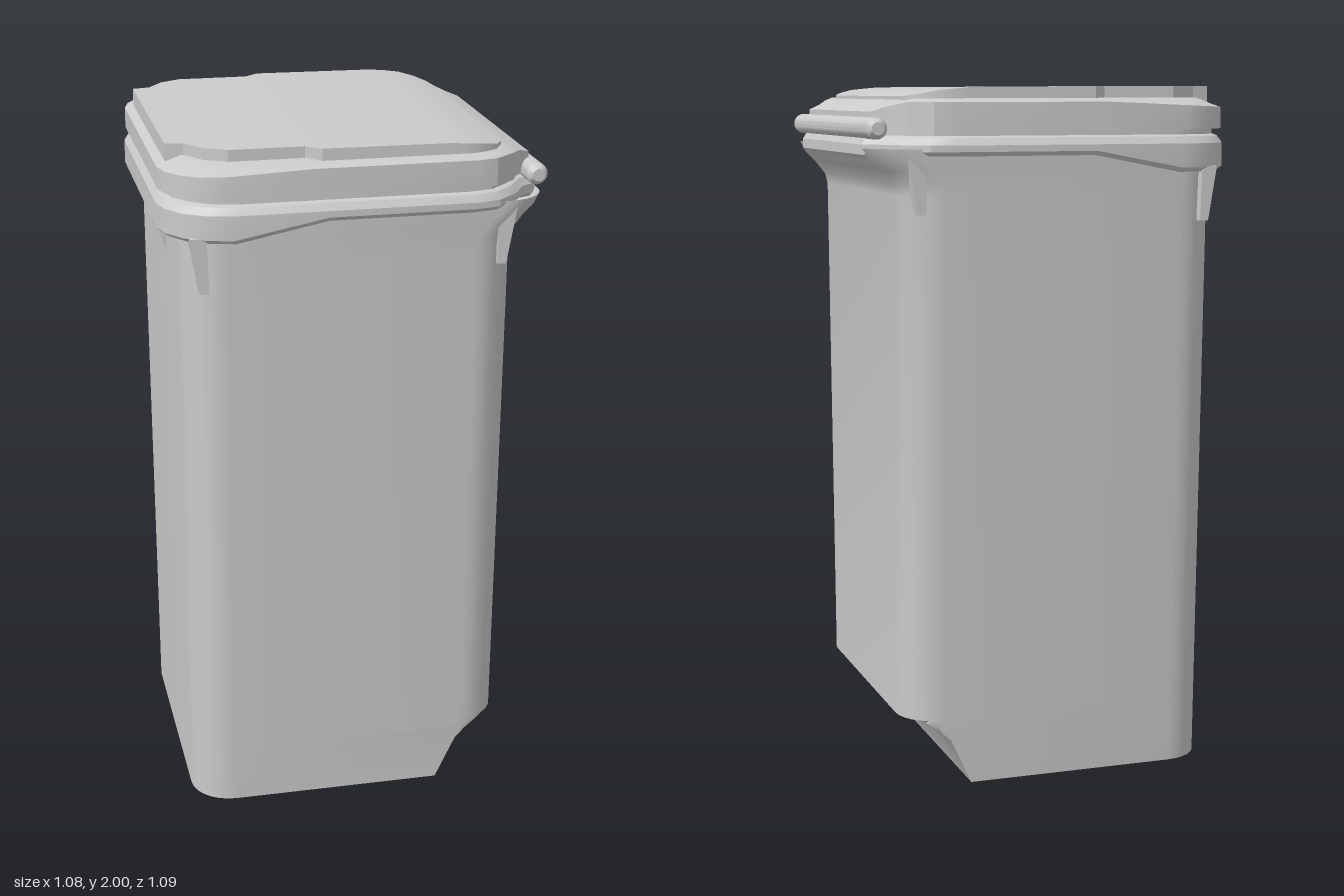
import * as THREE from 'three';
import { toCreasedNormals } from 'three/addons/utils/BufferGeometryUtils.js';

const material = new THREE.MeshStandardMaterial({ color: 0xcccccc, side: THREE.DoubleSide });

// Piecewise-linear lookup through [input, output] stops
function ramp(v, stops) {
  if (v <= stops[0][0]) return stops[0][1];
  for (let i = 1; i < stops.length; i++) {
    const [a, fa] = stops[i - 1], [b, fb] = stops[i];
    if (v <= b) return fa + (fb - fa) * (v - a) / (b - a);
  }
  return stops[stops.length - 1][1];
}

// Half outline (z > 0, from +x to -x) of a rounded rectangle
function roundedHalf(x0, x1, hz, r, steps = 7) {
  const half = [];
  for (const [cx, start] of [[x1 - r, 0], [x0 + r, Math.PI / 2]]) {
    for (let i = 0; i <= steps; i++) {
      const a = start + (i / steps) * Math.PI / 2;
      half.push([cx + r * Math.cos(a), hz - r + r * Math.sin(a)]);
    }
  }
  return half;
}

// Mirrors a half outline into a closed ring; y may depend on x
function ring(half, y, inset = 0) {
  const s = 1 - inset / 0.54;
  const side = half.map(([x, z]) => [x * s, typeof y === 'function' ? y(x) : y, z * s]);
  return [...side, ...side.map(([x, h, z]) => [x, h, -z]).reverse()];
}

// Skins consecutive rings and closes the ends with strips across z
function loft(rings, capBottom, capTop, crease = 0.5) {
  const pos = [], n = rings[0].length;
  const tri = (...p) => p.forEach(v => pos.push(...v));
  for (let i = 0; i + 1 < rings.length; i++) {
    for (let j = 0; j < n; j++) {
      const k = (j + 1) % n;
      const a = rings[i][j], b = rings[i][k], c = rings[i + 1][k], d = rings[i + 1][j];
      tri(a, d, b);
      tri(b, d, c);
    }
  }
  const cap = (r, up) => {
    for (let j = 0; j < n / 2 - 1; j++) {
      const a = r[j], b = r[j + 1], d = r[n - 1 - j], e = r[n - 2 - j];
      if (up) { tri(a, d, b); tri(b, d, e); } else { tri(a, b, d); tri(b, e, d); }
    }
  };
  if (capBottom) cap(rings[0], false);
  if (capTop) cap(rings[rings.length - 1], true);
  const g = new THREE.BufferGeometry();
  g.setAttribute('position', new THREE.Float32BufferAttribute(pos, 3));
  return toCreasedNormals(g, crease);
}

export function createModel() {
  const group = new THREE.Group();
  const add = (name, geometry) => {
    const mesh = new THREE.Mesh(geometry, material);
    mesh.name = name;
    group.add(mesh);
    return mesh;
  };

  // Tapered body: recessed floor, stepped cut at the lower +x edge, flare under the handle
  const cut = [[0, 0.25], [0.13, 0.31], [0.16, 0.34], [0.185, 0.38], [0.195, 0.445]];
  const flare = [[1.70, 0.445], [1.73, 0.453], [1.77, 0.485], [1.80, 0.515], [1.83, 0.53]];
  const section = (y, inset = 0) => {
    const x1 = ramp(y, flare), hz = 0.47 + 0.023 * y;
    const limit = y < 0.195 ? ramp(y, cut) - inset : 9;
    return roundedHalf(-0.49 + inset, x1 - inset, hz - inset, 0.12 - inset)
      .map(([x, z]) => [Math.min(x, limit), z]);
  };
  add('body', loft([
    ring(section(0.07, 0.045), 0.07),
    ring(section(0, 0.025), 0),
    ...[0, 0.13, 0.16, 0.185, 0.195, 1.70, 1.73, 1.77, 1.80, 1.83].map(y => ring(section(y), y)),
  ], true, false));

  // Collar around the mouth, deeper towards -x
  const collarHalf = [[0.53, 0.37], [0.485, 0.40], [0.44, 0.475], [0.38, 0.53], [0.31, 0.547],
    [-0.1, 0.547], [-0.36, 0.547], [-0.43, 0.53], [-0.49, 0.49], [-0.53, 0.43], [-0.545, 0.37]];
  const skirt = x => ramp(x, [[-0.36, 1.76], [-0.1, 1.81], [0.4, 1.81], [0.53, 1.80]]);
  add('collar', loft([
    ring(collarHalf, x => skirt(x) + 0.01, 0.06),
    ring(collarHalf, skirt, 0.012),
    ring(collarHalf, x => skirt(x) + 0.012),
    ring(collarHalf, 1.84),
    ring(collarHalf, 1.86, 0.012),
    ring(collarHalf, 1.865, 0.025),
    ring(collarHalf, 1.885, 0.025),
  ], false, false));

  // Lid with a lowered lip by the handle
  const lidHalf = [[0.507, 0.37], [0.47, 0.40], [0.43, 0.48], [0.37, 0.53], [0.31, 0.545],
    [-0.14, 0.545], [-0.37, 0.545], [-0.44, 0.525], [-0.49, 0.485], [-0.525, 0.43], [-0.54, 0.37]];
  const lidEdge = x => ramp(x,
    [[-0.54, 1.94], [-0.37, 1.947], [-0.14, 1.957], [0.43, 1.957], [0.507, 1.93]]);
  add('lid', loft([
    ring(lidHalf, 1.88),
    ring(lidHalf, lidEdge),
    ring(lidHalf, x => lidEdge(x) + 0.008, 0.02),
    ring(lidHalf, x => ramp(x, [[0.45, 1.968], [0.507, 1.955]]), 0.06),
  ], true, true, 0.4));

  // Raised lid panel, stepped in at the sides and sloping down to +x
  const panelHalf = [[0.42, 0.36], [0.413, 0.41], [0.385, 0.465], [0.345, 0.49], [0.30, 0.502],
    [0.25, 0.502], [-0.11, 0.502], [-0.15, 0.465], [-0.36, 0.465], [-0.42, 0.43],
    [-0.465, 0.365], [-0.515, 0.355]];
  const panelTop = x => ramp(x, [[0.22, 2], [0.34, 1.99], [0.42, 1.972]]);
  add('lidPanel', loft([ring(panelHalf, 1.945), ring(panelHalf, panelTop)], true, true, 0.3));

  // Handle bar with chamfered ends
  const profile = [[0, -0.465], [0.018, -0.465], [0.03, -0.448], [0.03, 0.448], [0.018, 0.465], [0, 0.465]];
  const bar = new THREE.LatheGeometry(profile.map(p => new THREE.Vector2(...p)), 20);
  const handle = add('handle', toCreasedNormals(bar, 0.5));
  handle.rotation.x = Math.PI / 2;
  handle.position.set(0.509, 1.885, 0);

  // Stiffening ribs beneath the collar, as plates in the xy plane
  const rib = (name, outline, z, depth) => {
    const shape = new THREE.Shape(outline.map(p => new THREE.Vector2(...p)));
    const geometry = new THREE.ExtrudeGeometry(shape, { depth, bevelEnabled: false });
    add(name, geometry.translate(0, 0, z - depth / 2));
  };
  for (const s of [1, -1]) {
    rib('sideRib', [[-0.53, 1.775], [-0.47, 1.775], [-0.47, 1.64], [-0.492, 1.64]], s * 0.13, 0.022);
    rib('cornerRib', [[-0.475, 1.775], [-0.43, 1.775], [-0.425, 1.62], [-0.45, 1.62]], s * 0.48, 0.08);
    rib('handleRib', [[0.385, 1.82], [0.44, 1.82], [0.41, 1.65], [0.385, 1.65]], s * 0.47, 0.07);
  }
  return group;
}
